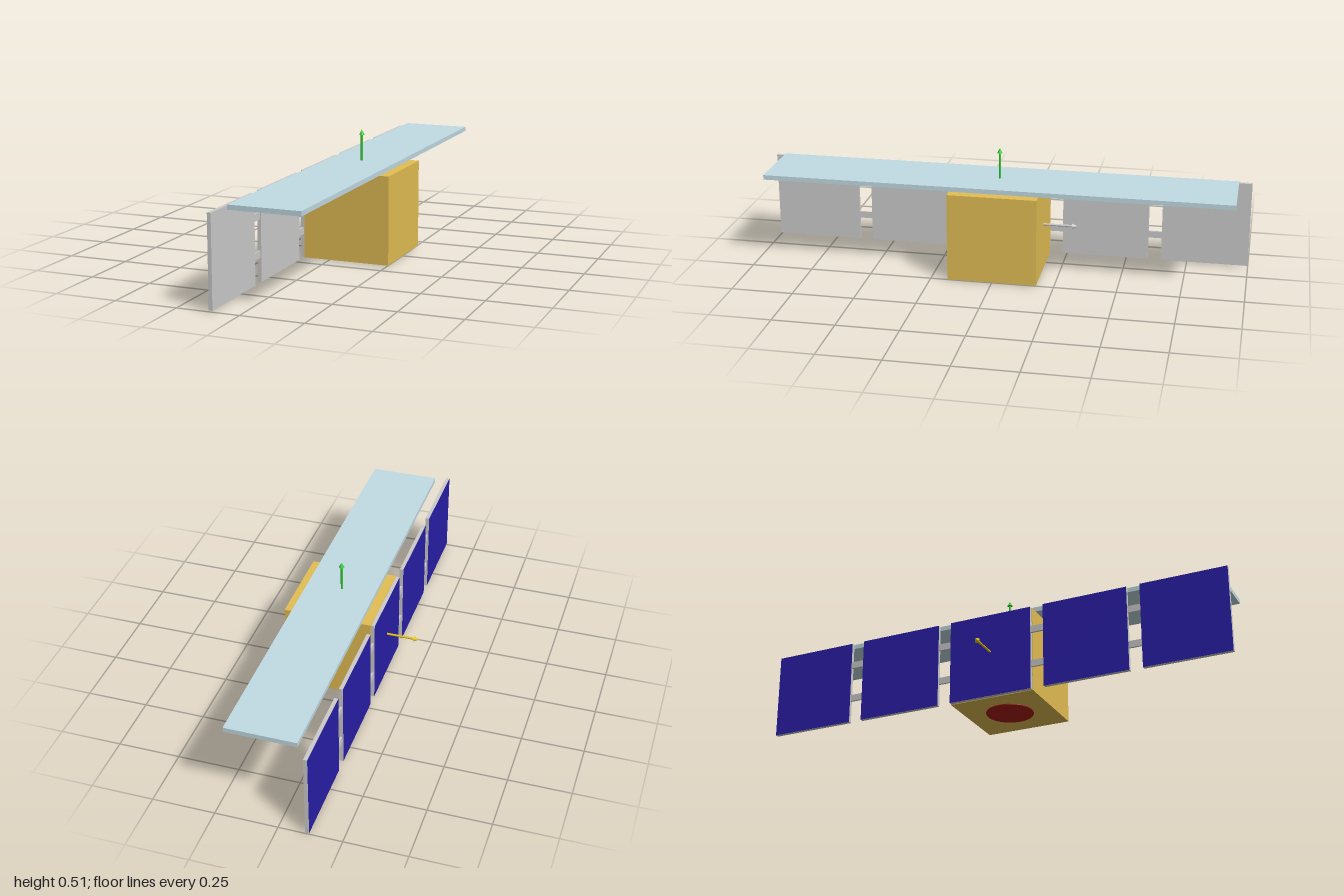
import * as THREE from 'three';

const paint = (color) => new THREE.MeshStandardMaterial({ color });

export function createModel() {
  const model = new THREE.Group();
  model.name = 'satellite';
  const grey = paint(0xcccccc);
  const gold = paint(0xe3be54);
  const paleBlue = paint(0xc2dbe3);
  const cellBlue = paint(0x2a1ea8);
  const red = paint(0xa81c14);
  const green = paint(0x33cc33);
  const yellow = paint(0xe0c010);

  const add = (name, geometry, material, x, y, z, parent = model) => {
    const mesh = new THREE.Mesh(geometry, material);
    mesh.name = name;
    mesh.position.set(x, y, z);
    parent.add(mesh);
    return mesh;
  };

  const cx = 0.075; // body centre
  const cy = 0.183;

  // Body, antenna plate and the round aperture underneath
  add('body', new THREE.BoxGeometry(0.36, 0.36, 0.36), gold, cx, cy, 0);
  add('antennaPlate', new THREE.BoxGeometry(0.284, 0.019, 1.894), paleBlue, cx, 0.3735, 0);
  add('aperture', new THREE.CylinderGeometry(0.097, 0.097, 0.003, 48), red, 0.07, 0.0015, 0);

  // Row of five solar panels, cells facing -x
  const pitch = 0.411, width = 0.356;
  for (let i = -2; i <= 2; i++) {
    const panel = new THREE.Group();
    panel.name = 'solarPanel';
    panel.position.set(-0.113, cy, i * pitch);
    model.add(panel);
    add('panelBoard', new THREE.BoxGeometry(0.015, 0.356, width), grey, 0, 0, 0, panel);
    const cells = add('solarCells', new THREE.PlaneGeometry(width, 0.356), cellBlue, -0.0082, 0, 0, panel);
    cells.rotation.y = -Math.PI / 2;
  }

  // Two hinge bars across each gap
  for (const z of [-1.5, -0.5, 0.5, 1.5]) {
    for (const y of [0.113, 0.263]) {
      add('hingeBar', new THREE.BoxGeometry(0.008, 0.028, pitch - width), grey, -0.113, y, z * pitch);
    }
  }

  // Axis arrows: shaft and cone, built along +y and turned into place
  const addArrow = (name, material, start, direction, length) => {
    const arrow = new THREE.Group();
    arrow.name = name;
    const head = 0.021;
    add('arrowShaft', new THREE.CylinderGeometry(0.0045, 0.0045, length - head, 16), material,
      0, (length - head) / 2, 0, arrow);
    add('arrowHead', new THREE.ConeGeometry(0.0107, head, 24), material, 0, length - head / 2, 0, arrow);
    arrow.position.set(...start);
    arrow.quaternion.setFromUnitVectors(new THREE.Vector3(0, 1, 0), new THREE.Vector3(...direction));
    model.add(arrow);
  };
  addArrow('upArrow', green, [0.072, 0.363, 0], [0, 1, 0], 0.147);
  addArrow('sideArrow', yellow, [-0.119, 0.197, 0], [-1, 0, 0], 0.138);
  addArrow('rearArrow', grey, [0.072, 0.197, -0.178], [0, 0, -1], 0.14);

  return model;
}
